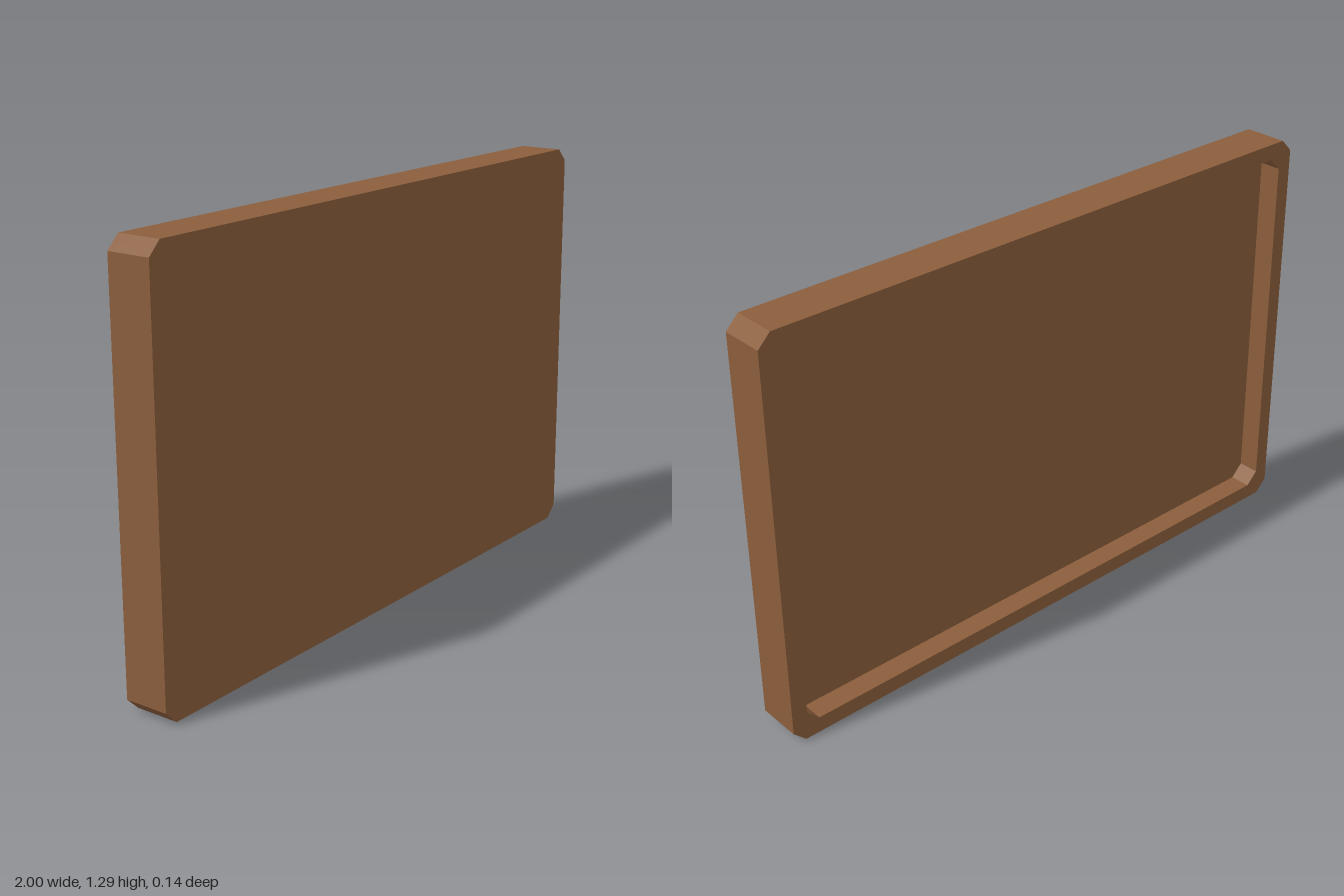
import * as THREE from 'three';

const WIDTH = 2, HEIGHT = 1.295, DEPTH = 0.14;
const RIM = 0.05, FLOOR = 0.07, CHAMFER = 0.04;

// Corner points of a rectangle with cut corners, centred on the origin
function chamferedPoints(w, h, c) {
  const x = w / 2, y = h / 2;
  return [
    [x - c, -y], [x, -y + c], [x, y - c], [x - c, y],
    [-x + c, y], [-x, y - c], [-x, -y + c], [-x + c, -y],
  ].map(([px, py]) => new THREE.Vector2(px, py));
}

export function createModel() {
  const group = new THREE.Group();
  group.name = 'tray';
  const wood = new THREE.MeshStandardMaterial({ color: 0x8b5e3c, flatShading: true });

  const outer = chamferedPoints(WIDTH, HEIGHT, CHAMFER);
  const inner = chamferedPoints(WIDTH - 2 * RIM, HEIGHT - 2 * RIM, CHAMFER);

  const addPart = (name, shape, depth, z) => {
    const geometry = new THREE.ExtrudeGeometry(shape, { depth, bevelEnabled: false });
    const mesh = new THREE.Mesh(geometry, wood);
    mesh.name = name;
    mesh.position.set(0, HEIGHT / 2, z);
    group.add(mesh);
  };

  // Solid panel facing the front
  addPart('panel', new THREE.Shape(outer), FLOOR, DEPTH / 2 - FLOOR);

  // Raised rim around the recess at the back
  const rimShape = new THREE.Shape(outer);
  rimShape.holes.push(new THREE.Path(inner));
  addPart('rim', rimShape, DEPTH - FLOOR, -DEPTH / 2);

  return group;
}
